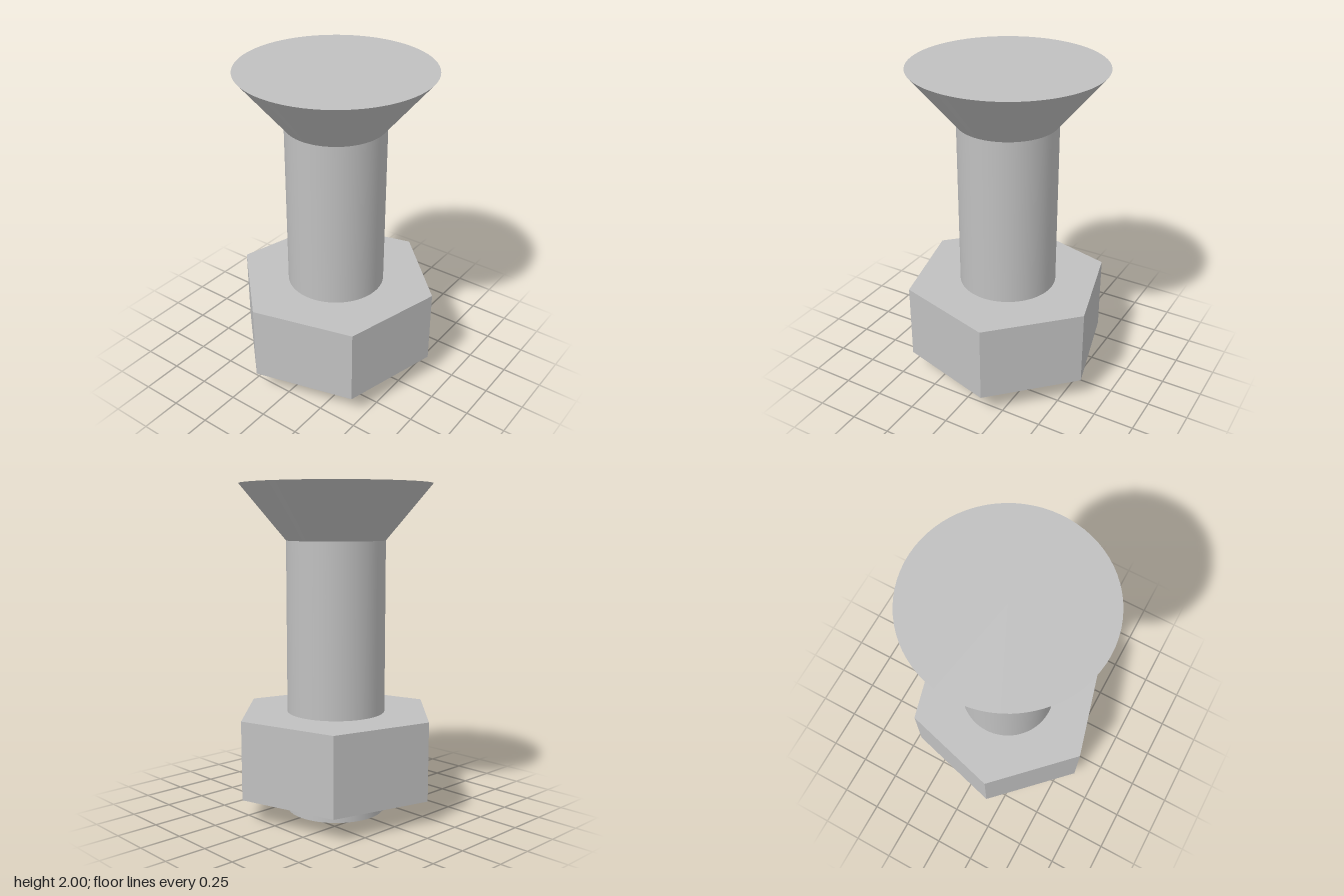
import * as THREE from 'three';

export function createModel() {
  const model = new THREE.Group();
  model.name = 'countersunkBoltWithNut';

  const steel = new THREE.MeshStandardMaterial({ color: 0xc0c0c0 });
  steel.name = 'steel grey';
  const facetedSteel = steel.clone();
  facetedSteel.flatShading = true;

  // Upright round or many-sided part spanning bottom to top
  function addPart(name, material, rTop, rBottom, bottom, top, sides, turn = 0) {
    const geometry = new THREE.CylinderGeometry(rTop, rBottom, top - bottom, sides, 1, false, turn);
    const mesh = new THREE.Mesh(geometry, material);
    mesh.name = name;
    mesh.position.y = (bottom + top) / 2;
    model.add(mesh);
  }

  // Plain shaft, its tip standing out below the nut
  addPart('shaft', steel, 0.3, 0.3, 0, 1.665, 72);

  // Flat-topped conical head
  addPart('head', steel, 0.578, 0.3, 1.665, 2, 72);

  // Hexagonal nut, one corner turned to the diagonal
  addPart('nut', facetedSteel, 0.633, 0.633, 0.143, 0.622, 6, Math.PI / 4);

  return model;
}
